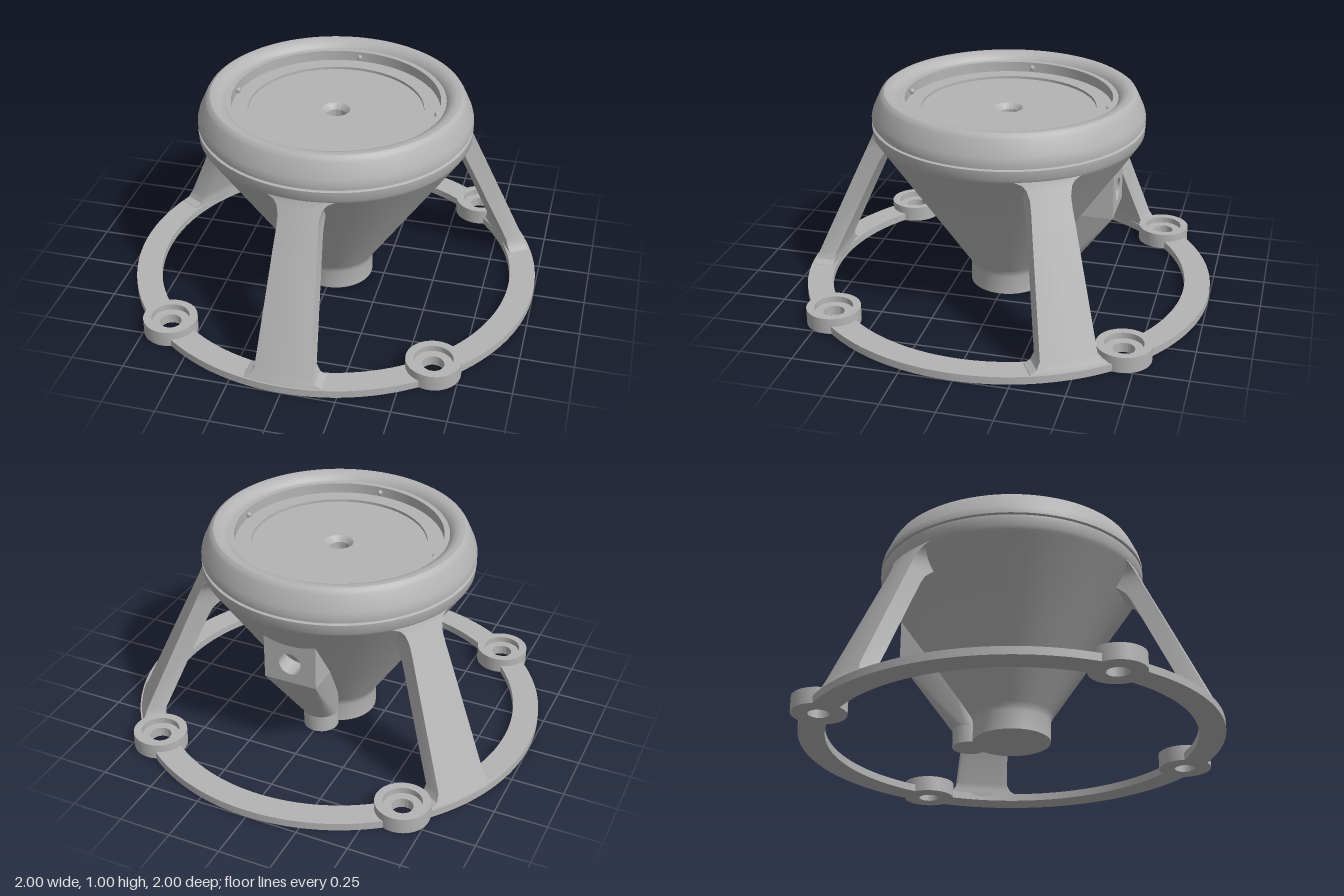
import * as THREE from 'three';
import { toCreasedNormals } from 'three/addons/utils/BufferGeometryUtils.js';
import { ConvexGeometry } from 'three/addons/geometries/ConvexGeometry.js';

const grey = new THREE.MeshStandardMaterial({ color: 0xb4b4b4 });
grey.name = 'satin grey';

function part(name, geometry, x = 0, y = 0, z = 0) {
  const mesh = new THREE.Mesh(toCreasedNormals(geometry, 0.5), grey);
  mesh.name = name;
  mesh.position.set(x, y, z);
  return mesh;
}

const lathe = (profile, segments) =>
  new THREE.LatheGeometry(profile.map(([r, y]) => new THREE.Vector2(r, y)), segments);

function circlePath(r, x = 0, y = 0) {
  return new THREE.Path().absarc(x, y, r, 0, Math.PI * 2, true);
}

// Loft through rows of [y, outer radius, inner z, half width]
function legGeometry(rows) {
  const n = 6, pos = [], idx = [], count = 2 * (n + 1);
  for (const [y, ro, zi, w] of rows) {
    for (let i = 0; i <= n; i++) {
      const x = w * (2 * i / n - 1);
      pos.push(x, y, Math.sqrt(ro * ro - x * x));
    }
    for (let i = n; i >= 0; i--) pos.push(w * (2 * i / n - 1), y, zi);
  }
  for (let r = 0; r < rows.length - 1; r++) {
    for (let i = 0; i < count; i++) {
      const a = r * count + i, b = r * count + (i + 1) % count;
      idx.push(a, b, b + count, a, b + count, a + count);
    }
  }
  const g = new THREE.BufferGeometry();
  g.setAttribute('position', new THREE.Float32BufferAttribute(pos, 3));
  g.setIndex(idx);
  return g;
}

export function createModel() {
  const group = new THREE.Group();
  group.name = 'pedestal';
  const bosses = [[0.63, 0.69], [-0.63, 0.69], [0.63, -0.69], [-0.63, -0.69]];

  // Base ring with screw holes
  const ring = new THREE.Shape().absarc(0, 0, 1, 0, Math.PI * 2, false);
  ring.holes.push(circlePath(0.875));
  for (const [x, z] of bosses) ring.holes.push(circlePath(0.05, x, z));
  const ringGeo = new THREE.ExtrudeGeometry(ring, { depth: 0.037, bevelEnabled: false, curveSegments: 96 });
  ringGeo.rotateX(-Math.PI / 2);
  group.add(part('baseRing', ringGeo));

  // Counterbored mounting bosses
  const bossGeo = lathe([[0.05, 0], [0.128, 0], [0.128, 0.077], [0.09, 0.077],
    [0.09, 0.048], [0.05, 0.048], [0.05, 0]], 48);
  for (const [x, z] of bosses) group.add(part('mountingBoss', bossGeo, x, 0, z));

  // Funnel body with its rim and recessed top
  group.add(part('funnelBody', lathe([
    [0, 0], [0.185, 0], [0.185, 0.095], [0.19, 0.115], [0.2, 0.133],
    [0.628, 0.775], [0.638, 0.79], [0.647, 0.805], [0.65, 0.85], [0.638, 0.854], [0.638, 0.866],
    [0.65, 0.87], [0.65, 0.885], [0.643, 0.912], [0.612, 0.98], [0.602, 0.996], [0.588, 1.005],
    [0.565, 1.005], [0.545, 0.998], [0.525, 0.982], [0.518, 0.97],
    [0.492, 0.97], [0.492, 0.92], [0.415, 0.92], [0.415, 0.907],
    [0.068, 0.907], [0.058, 0.9], [0.046, 0.88], [0.046, 0.83], [0, 0.83]], 96)));

  // Small pins on the recess wall
  const pinGeo = new THREE.SphereGeometry(0.013, 12, 8);
  for (let i = 0; i < 4; i++) {
    const a = i * Math.PI / 2;
    group.add(part('wallPin', pinGeo, 0.482 * Math.sin(a), 0.945, 0.482 * Math.cos(a)));
  }

  // Three flared legs
  const legGeo = legGeometry([
    [0.02, 0.998, 0.875, 0.19], [0.04, 0.992, 0.872, 0.18], [0.055, 0.983, 0.872, 0.15],
    [0.09, 0.967, 0.868, 0.132], [0.6, 0.73, 0.63, 0.1], [0.64, 0.711, 0.605, 0.097],
    [0.67, 0.697, 0.57, 0.095], [0.72, 0.674, 0.5, 0.094], [0.76, 0.656, 0.5, 0.104],
    [0.78, 0.647, 0.5, 0.12], [0.795, 0.642, 0.5, 0.155]]);
  for (let i = 0; i < 3; i++) {
    const leg = part('leg', legGeo);
    leg.rotation.y = i * Math.PI * 2 / 3;
    group.add(leg);
  }

  // Rear port block with a round hole
  const face = new THREE.Shape();
  face.moveTo(-0.13, 0.44).lineTo(0.13, 0.44).lineTo(0.13, 0.7).lineTo(-0.13, 0.7).closePath();
  face.holes.push(circlePath(0.055, 0, 0.54));
  const portGeo = new THREE.ExtrudeGeometry(face, { depth: 0.24, bevelEnabled: false, curveSegments: 24 });
  group.add(part('portBlock', portGeo, 0, 0, -0.537));

  // Cable duct tapering from the port block to a round foot
  const points = [];
  for (let i = 0; i < 24; i++) {
    const a = i / 24 * Math.PI * 2;
    for (const y of [0, 0.085]) {
      points.push(new THREE.Vector3(0.085 * Math.sin(a), y, -0.212 + 0.085 * Math.cos(a)));
    }
  }
  const foot = points.filter(p => p.y === 0);
  const upper = points.filter(p => p.y > 0);
  for (const x of [-0.13, 0.13]) {
    for (const z of [-0.537, -0.3]) upper.push(new THREE.Vector3(x, 0.44, z));
  }
  group.add(part('ductFoot', new ConvexGeometry([...foot, ...upper.slice(0, 24)])));
  group.add(part('cableDuct', new ConvexGeometry(upper)));

  return group;
}
